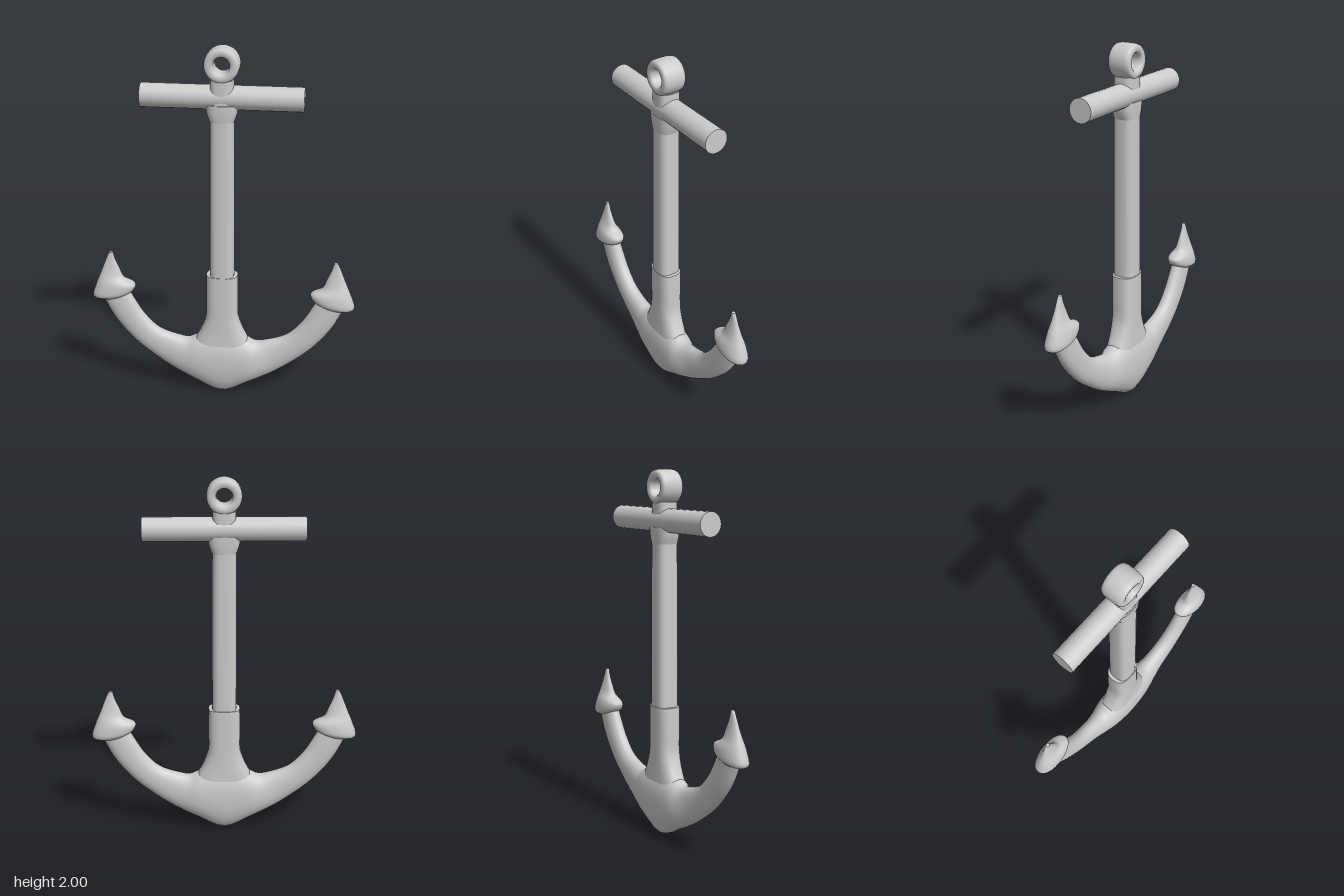
import * as THREE from 'three';

const material = new THREE.MeshStandardMaterial({ color: 0xcccccc });

function add(group, name, geometry) {
  const mesh = new THREE.Mesh(geometry, material);
  mesh.name = name;
  group.add(mesh);
  return mesh;
}

// signed power: turns a circle into a squarer superellipse
const pow = (v, e) => Math.sign(v) * Math.abs(v) ** e;

// Loft through sections [ax, ay, bx, by, depth]: each is a rounded oval
// spanning from a to b in the xy plane, with half thickness depth in z.
function loft(sections, steps, square = 0.8, sides = 24) {
  const v3 = (i, j) => new THREE.CatmullRomCurve3(sections.map(s => new THREE.Vector3(s[i], s[j], s[4])));
  const curveA = v3(0, 1), curveB = v3(2, 3);
  const pos = [], index = [];
  for (let i = 0; i <= steps; i++) {
    const a = curveA.getPoint(i / steps), b = curveB.getPoint(i / steps);
    for (let k = 0; k < sides; k++) {
      const t = k / sides * Math.PI * 2;
      const c = pow(Math.cos(t), square) / 2, s = pow(Math.sin(t), square);
      pos.push((a.x + b.x) / 2 + (b.x - a.x) * c, (a.y + b.y) / 2 + (b.y - a.y) * c, a.z * s);
      if (i < steps) {
        const p = i * sides + k, q = i * sides + (k + 1) % sides;
        index.push(p, q, p + sides, q, q + sides, p + sides);
      }
    }
  }
  // end caps with their own vertices, so the rims stay sharp
  for (const end of [0, steps]) {
    const start = pos.length / 3;
    for (let k = 0; k < sides; k++) pos.push(...pos.slice((end * sides + k) * 3, (end * sides + k) * 3 + 3));
    for (let k = 1; k < sides - 1; k++) {
      if (end) index.push(start, start + k, start + k + 1);
      else index.push(start, start + k + 1, start + k);
    }
  }
  const g = new THREE.BufferGeometry();
  g.setAttribute('position', new THREE.Float32BufferAttribute(pos, 3));
  g.setIndex(index);
  g.computeVertexNormals();
  return g;
}

// upright section of half width w and half depth d
const level = (y, w, d) => [w, y, -w, y, d];

export function createModel() {
  const anchor = new THREE.Group();
  anchor.name = 'anchor';

  // shank, with a thicker sleeve flaring into the crown
  add(anchor, 'shank', loft([level(0.2, 0.066, 0.064), level(1.0, 0.066, 0.062), level(1.83, 0.062, 0.058)], 8, 0.65));
  add(anchor, 'shankSleeve', loft([
    level(0.22, 0.19, 0.075), level(0.32, 0.155, 0.07), level(0.4, 0.115, 0.067),
    level(0.48, 0.09, 0.066), level(0.6, 0.088, 0.066), level(0.73, 0.086, 0.066)], 20, 0.7));

  // collar under the stock
  add(anchor, 'collar', loft([level(1.61, 0.066, 0.06), level(1.65, 0.08, 0.063), level(1.7, 0.088, 0.064)], 6, 0.7));

  // stock
  const stock = add(anchor, 'stock', new THREE.CylinderGeometry(0.064, 0.064, 0.85, 24));
  stock.rotation.z = Math.PI / 2;
  stock.position.set(0, 1.733, -0.003);

  // ring: wide band with a rounded-square section
  const band = [];
  for (let k = 0; k <= 20; k++) {
    const t = k / 20 * Math.PI * 2;
    band.push(new THREE.Vector2(0.067 + 0.026 * pow(Math.cos(t), 0.6), 0.064 * pow(Math.sin(t), 0.6)));
  }
  const ring = add(anchor, 'ring', new THREE.LatheGeometry(band, 32));
  ring.rotation.x = Math.PI / 2;
  ring.position.y = 1.907;

  // arms: one crescent through the crown, lower edge to upper edge
  const half = [
    [0.15, 0.065, 0.13, 0.35, 0.082], [0.23, 0.105, 0.19, 0.325, 0.068], [0.31, 0.15, 0.25, 0.335, 0.055],
    [0.47, 0.27, 0.36, 0.375, 0.048], [0.56, 0.365, 0.44, 0.455, 0.046],
    [0.62, 0.45, 0.49, 0.535, 0.045], [0.67, 0.55, 0.53, 0.61, 0.042]];
  const mirrored = half.map(([ax, ay, bx, by, d]) => [-ax, ay, -bx, by, d]).reverse();
  add(anchor, 'arms', loft([...mirrored, [0, 0, 0, 0.38, 0.087], ...half], 56, 0.9));

  // flukes: barbed heads narrowing to thin tips
  const fluke = [
    [0.66, 0.545, 0.53, 0.585, 0.045], [0.73, 0.56, 0.5, 0.605, 0.062], [0.712, 0.635, 0.488, 0.64, 0.058],
    [0.685, 0.7, 0.55, 0.675, 0.036], [0.665, 0.75, 0.575, 0.73, 0.022],
    [0.645, 0.8, 0.6, 0.79, 0.013], [0.63, 0.83, 0.61, 0.83, 0.01]];
  add(anchor, 'leftFluke', loft(fluke, 24, 0.9));
  add(anchor, 'rightFluke', loft(fluke.map(([ax, ay, bx, by, d]) => [-bx, by, -ax, ay, d]), 24, 0.9));

  return anchor;
}
